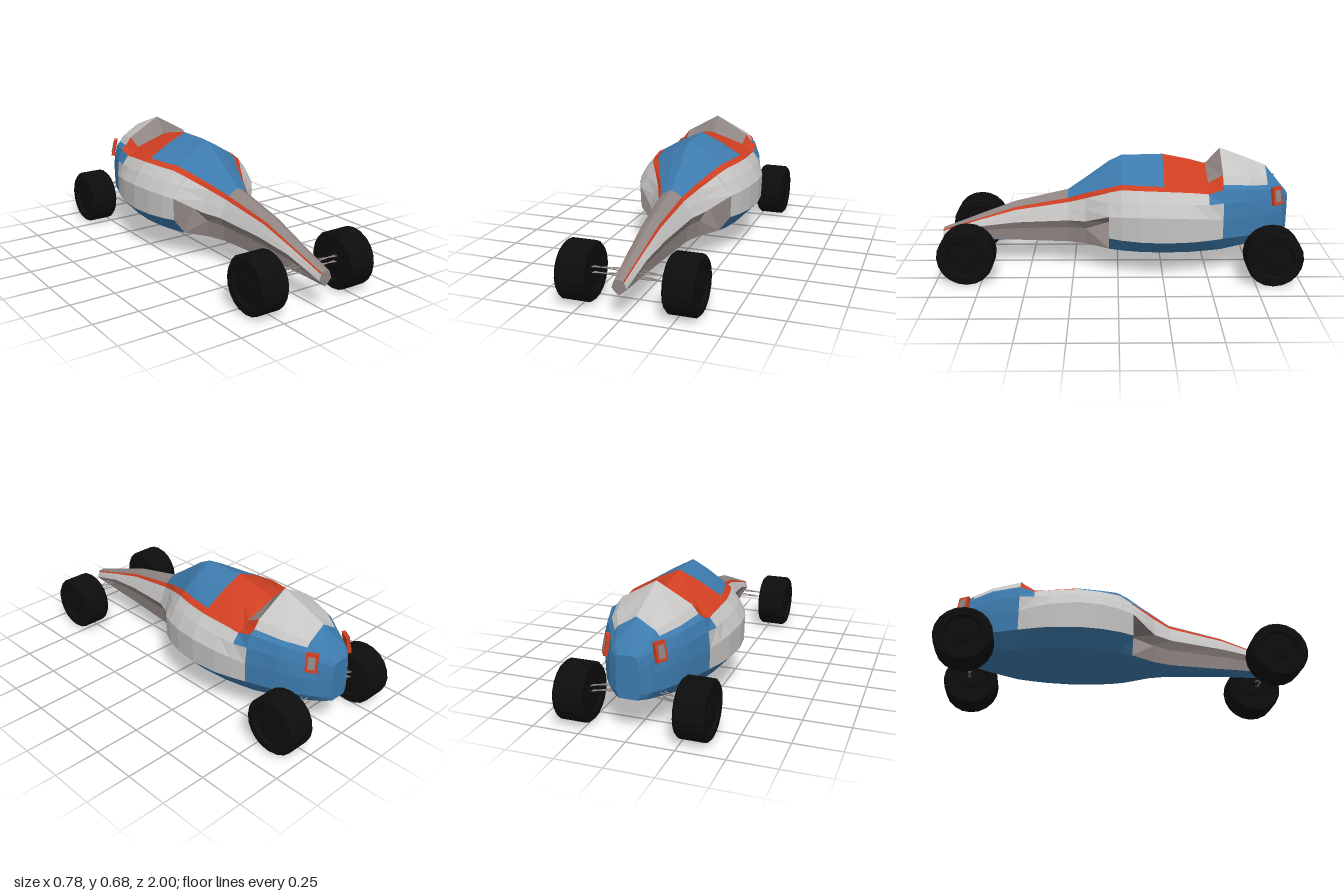
import * as THREE from 'three';

const paint = (name, color) => {
  const m = new THREE.MeshStandardMaterial({ color, flatShading: true });
  m.name = name;
  return m;
};

// Control sections: z, ridge height, stripe x, stripe y, shoulder x, shoulder y
const noseRows = [
  [1, .21, .024, .205, .038, .165],
  [.78, .295, .033, .277, .058, .235],
  [.58, .37, .042, .345, .078, .265],
  [.28, .44, .06, .405, .115, .29],
  [.18, .51, .1, .447, .16, .3],
  [.05, .605, .155, .495, .27, .365],
];
const podRows = [
  [.05, .605, .155, .495, .27, .365],
  [-.02, .64, .19, .522, .305, .375],
  [-.12, .642, .215, .524, .335, .382],
  [-.25, .645, .235, .524, .35, .385],
  [-.4, .615, .228, .515, .335, .375],
];
const tailRows = [
  [-.49, .59, .215, .495, .31, .365],
  [-.57, .68, .22, .53, .282, .35],
  [-.72, .625, .18, .515, .226, .35],
  [-.83, .58, .115, .495, .17, .34],
  [-.92, .47, .085, .45, .108, .34],
  [-.955, .43, .05, .42, .06, .33],
];

// Grow a control section into nine points from ridge to keel
function section([z, top, ax, ay, dx, dy], { crown, lift, bulge, lower }) {
  const ridge = new THREE.Vector3(0, top, z);
  const stripe = new THREE.Vector3(ax, ay, z);
  const shoulder = new THREE.Vector3(dx, dy, z);
  const flank = (t) => stripe.clone().lerp(shoulder, t).add(new THREE.Vector3(dx * bulge, dx * bulge, 0));
  const crownPoint = ridge.clone().lerp(stripe, crown);
  crownPoint.y += ax * lift;
  const rise = Math.max(0, -z - .6) * .15;
  const keel = THREE.MathUtils.clamp(.135 - z * .08, .13, .152) + rise;
  return [
    ridge, crownPoint, stripe, flank(.2), flank(.58), shoulder, lower(dx, dy, z),
    new THREE.Vector3(dx * .74, .153 + rise, z), new THREE.Vector3(0, keel, z),
  ];
}

const undercut = (x, y, z) => new THREE.Vector3(Math.min(x * .8, .14), y * .65 + .0525, z);
const podWall = (x, y, z) => new THREE.Vector3(x * .985, .24, z);

const sections = [
  ...noseRows.map((r) => section(r, { crown: .5, lift: .035, bulge: .02, lower: undercut })),
  ...podRows.map((r) => section(r, { crown: .5, lift: .035, bulge: .03, lower: podWall })),
  ...tailRows.map((r) => section(r, { crown: .85, lift: .1, bulge: .06, lower: podWall })),
];

const point = (s, k, side) => sections[s][k].clone().multiply(new THREE.Vector3(side, 1, 1));

function facets(name, material, triangles) {
  const geometry = new THREE.BufferGeometry().setFromPoints(triangles);
  geometry.computeVertexNormals();
  const mesh = new THREE.Mesh(geometry, material);
  mesh.name = name;
  return mesh;
}

// Mirrored skin between sections s0..s1 and profile points k0..k1
function skin(name, material, s0, s1, k0, k1) {
  const tris = [];
  for (const side of [1, -1]) {
    for (let s = s0; s < s1; s++) {
      for (let k = k0; k < k1; k++) {
        const a = point(s, k, side), b = point(s + 1, k, side);
        const c = point(s + 1, k + 1, side), d = point(s, k + 1, side);
        tris.push(...(side > 0 ? [a, d, c, a, c, b] : [a, c, d, a, b, c]));
      }
    }
  }
  return facets(name, material, tris);
}

// Flat end cap, facing forward (+1) or backward (-1)
function cap(name, material, s, facing) {
  const tris = [], mid = point(s, 0, 1).lerp(point(s, 8, 1), .5);
  for (const side of [1, -1]) {
    for (let k = 0; k < 8; k++) {
      const a = point(s, k, side), b = point(s, k + 1, side);
      tris.push(mid, ...(side * facing > 0 ? [b, a] : [a, b]));
    }
  }
  return facets(name, material, tris);
}

function rod(name, material, a, b) {
  const from = new THREE.Vector3(...a), to = new THREE.Vector3(...b);
  const dir = to.clone().sub(from);
  const mesh = new THREE.Mesh(new THREE.CylinderGeometry(.003, .003, dir.length(), 6), material);
  mesh.position.copy(from).add(to).multiplyScalar(.5);
  mesh.quaternion.setFromUnitVectors(new THREE.Vector3(0, 1, 0), dir.normalize());
  mesh.name = name;
  return mesh;
}

export function createModel() {
  const blue = paint('blue', 0x3d7bae);
  const red = paint('red', 0xcf3f22);
  const light = paint('lightGrey', 0xc6c5c4);
  const grey = paint('warmGrey', 0x8f8583);
  const black = paint('black', 0x0d0d0d);
  const car = new THREE.Group();
  car.name = 'racingCar';

  // Nose
  car.add(
    cap('noseTip', grey, 0, 1),
    skin('noseTop', grey, 0, 3, 0, 2),
    skin('noseUndercut', grey, 0, 5, 5, 7),
    skin('podFront', grey, 5, 6, 5, 7),
  );

  // Cockpit canopy, roof and stripe
  car.add(
    skin('canopy', blue, 3, 9, 0, 2),
    skin('sideStripe', red, 0, 9, 2, 3),
    skin('roof', red, 9, 11, 0, 3),
    skin('collar', grey, 11, 12, 0, 1),
    skin('collarEdge', red, 11, 12, 1, 3),
  );

  // Body sides and floor
  car.add(
    skin('upperSide', light, 0, 11, 3, 4),
    skin('shoulder', light, 0, 12, 4, 5),
    skin('podSide', light, 6, 12, 5, 6),
    skin('sill', blue, 6, 12, 6, 7),
    skin('floor', blue, 0, 16, 7, 8),
  );

  // Engine cover and tail
  car.add(
    skin('engineCover', light, 12, 14, 0, 2),
    skin('coverCorner', blue, 11, 12, 3, 4),
    skin('rearSide', blue, 12, 14, 2, 7),
    skin('tail', blue, 14, 16, 0, 7),
    cap('tailEnd', blue, 16, -1),
  );

  // Wheels: bevelled tyre with a dished hub
  const half = [[.155, .065], [.142, .079], [.105, .079], [.095, .066], [.05, .066], [.04, .072], [0, .072]];
  const profile = [
    ...half.map(([r, y]) => new THREE.Vector2(r, -y)).reverse(),
    ...half.map(([r, y]) => new THREE.Vector2(r, y)),
  ];
  const tyre = new THREE.LatheGeometry(profile, 20).rotateZ(Math.PI / 2);

  for (const side of [1, -1]) {
    for (const [name, x, z] of [['frontWheel', .278, .827], ['rearWheel', .311, -.843]]) {
      const wheel = new THREE.Mesh(tyre, black);
      wheel.name = name;
      wheel.position.set(x * side, .156, z);
      car.add(wheel);
    }

    // Suspension arms
    for (const y of [.165, .195]) {
      for (const dz of [-.02, .02]) {
        car.add(
          rod('frontArm', grey, [.03 * side, y, .845 + dz], [.21 * side, y - .005, .845 - dz * .4]),
          rod('rearArm', grey, [.1 * side, y + .03, -.85 + dz], [.245 * side, y, -.85 - dz * .4]),
        );
      }
    }

    // Tail lights
    const lamp = new THREE.Group();
    lamp.name = 'tailLight';
    const frame = new THREE.Mesh(new THREE.BoxGeometry(.062, .1, .02), red);
    frame.name = 'lightFrame';
    const lens = new THREE.Mesh(new THREE.BoxGeometry(.036, .066, .006), grey);
    lens.name = 'lightLens';
    lens.position.z = .011;
    lamp.add(frame, lens);
    lamp.position.set(.138 * side, .44, -.88);
    lamp.rotation.set(-.2, side * Math.atan2(.09, -.055), 0, 'YXZ');
    car.add(lamp);
  }
  return car;
}
